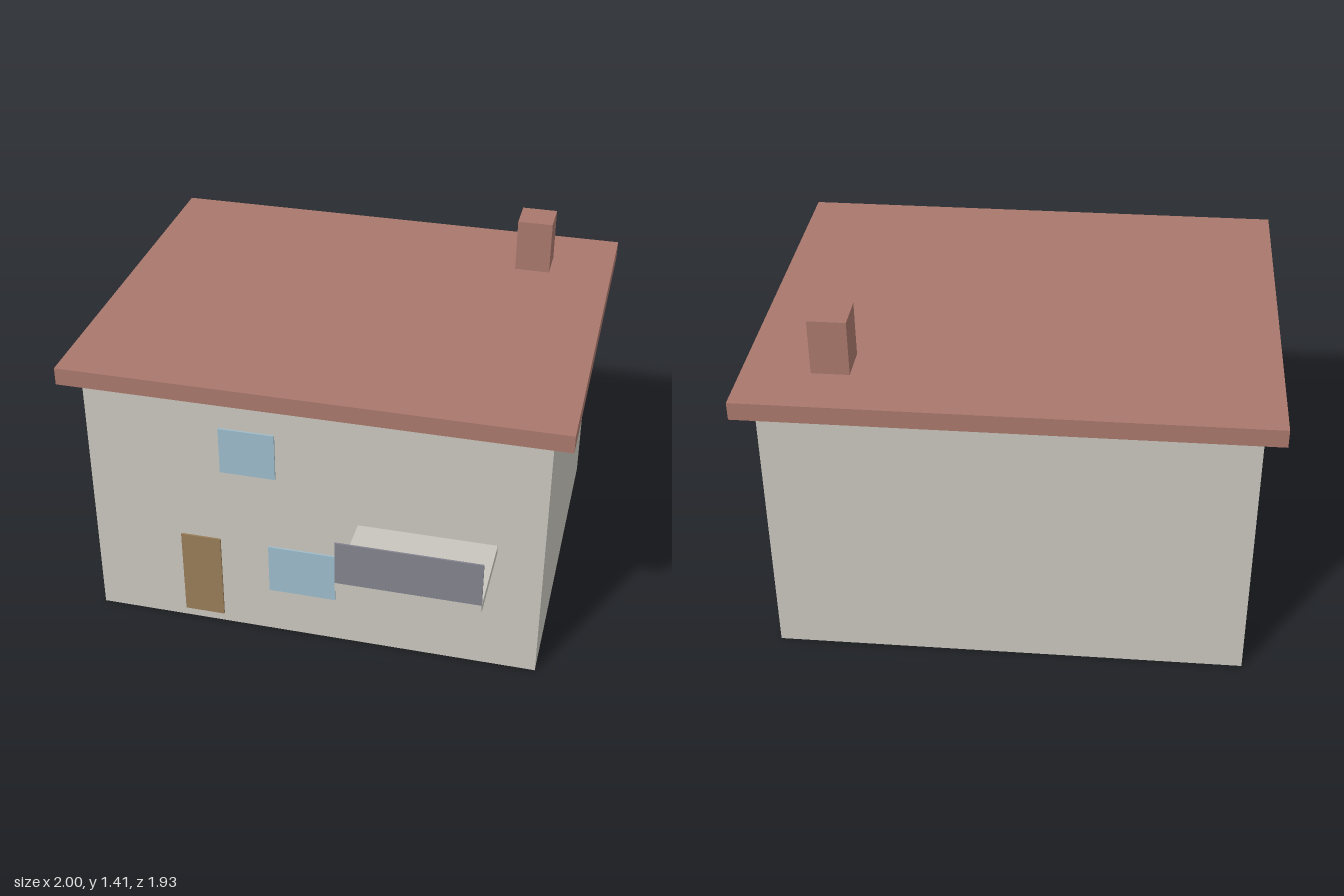
import * as THREE from 'three';

const material = (name, color) => {
  const m = new THREE.MeshStandardMaterial({ color });
  m.name = name;
  return m;
};

export function createModel() {
  const house = new THREE.Group();
  house.name = 'house';

  const plaster = material('plaster', 0xc8c5bd);
  const terracotta = material('terracotta', 0xa9786c);
  const glass = material('glass', 0x9dbbca);
  const wood = material('wood', 0x977c57);
  const metal = material('metal', 0x83828d);

  // Box given by its extents along each axis
  const block = (name, mat, [x0, x1], [y0, y1], [z0, z1]) => {
    const mesh = new THREE.Mesh(new THREE.BoxGeometry(x1 - x0, y1 - y0, z1 - z0), mat);
    mesh.position.set((x0 + x1) / 2, (y0 + y1) / 2, (z0 + z1) / 2);
    mesh.name = name;
    house.add(mesh);
  };

  const front = 0.593;
  const plate = [front, front + 0.008];

  // Body, flat overhanging roof and chimney
  block('walls', plaster, [-0.925, 0.922], [0, 1.115], [-0.889, front]);
  block('roof', terracotta, [-1, 1], [1.115, 1.187], [-0.963, 0.666]);
  block('chimney', terracotta, [0.593, 0.739], [1.187, 1.409], [-0.741, -0.594]);

  // Door and windows on the front wall
  block('door', wood, [-0.556, -0.389], [0.04, 0.427], plate);
  block('upperWindow', glass, [-0.374, -0.148], [0.763, 0.966], plate);
  block('lowerWindow', glass, [-0.186, 0.092], [0.207, 0.427], plate);

  // Balcony slab with a thin front railing
  block('balcony', plaster, [0.184, 0.739], [0.56, 0.597], [front, 0.963]);
  block('railing', metal, [0.184, 0.739], [0.597, 0.781], [0.956, 0.963]);

  return house;
}
